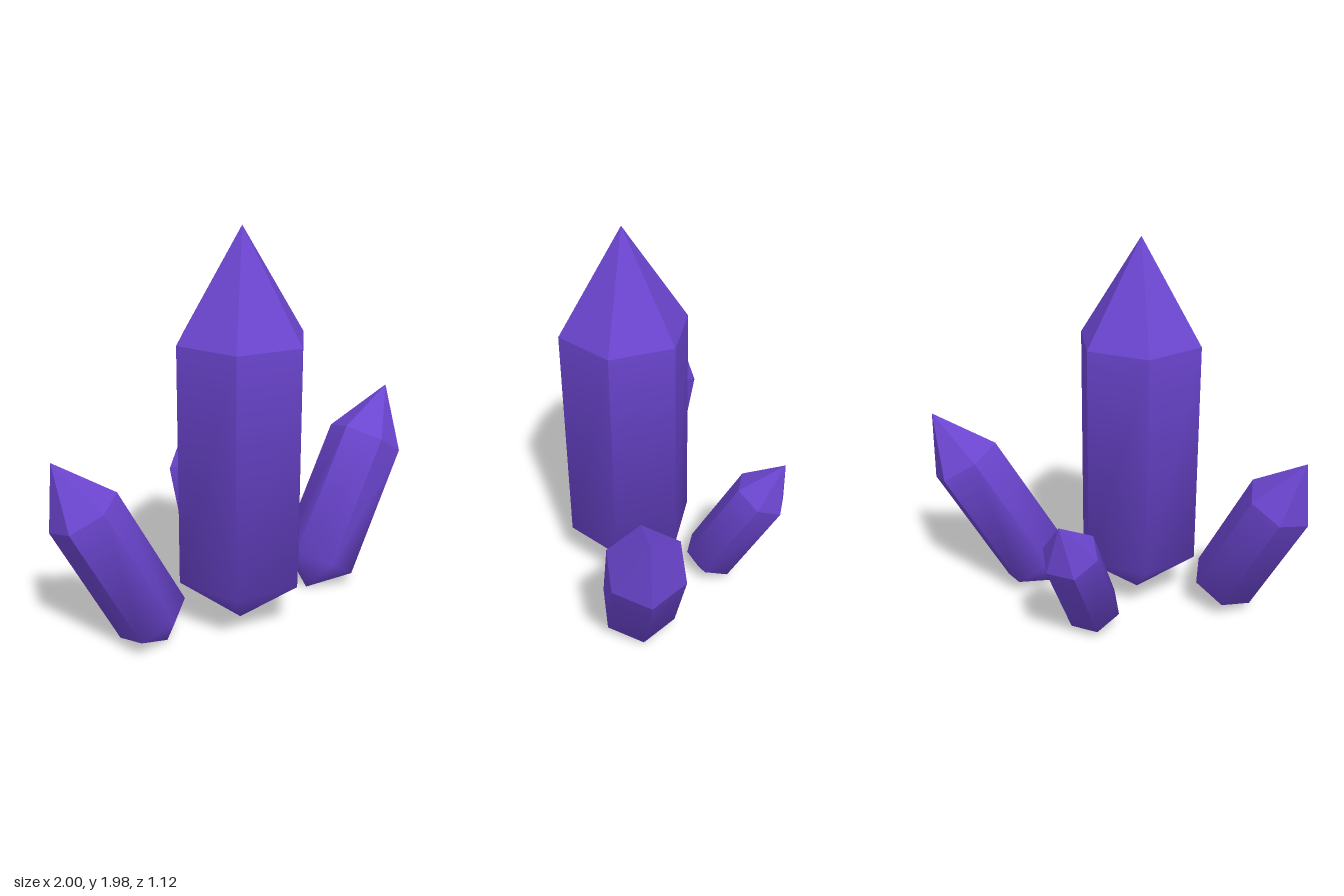
import * as THREE from 'three';

const SIDES = 6, RADIUS = 0.33, HEIGHT = 1.98, LOW = 0.265, HIGH = 1.455;

// Six-sided crystal standing on its lower point: crisp facets at the top, softened edges at the root
function crystalGeometry() {
  const positions = [], normals = [];
  const radial = (a, y = 0) => new THREE.Vector3(Math.cos(a), y, -Math.sin(a));
  const at = (a, y) => radial(a).multiplyScalar(RADIUS).setY(y);
  const add = (p, n) => {
    positions.push(p.x, p.y, p.z);
    normals.push(n.x, n.y, n.z);
  };
  const apex = new THREE.Vector3(0, HEIGHT, 0), root = new THREE.Vector3(0, 0, 0);
  const down = new THREE.Vector3(0, -1, 0);
  const apothem = RADIUS * Math.cos(Math.PI / SIDES);

  for (let i = 0; i < SIDES; i++) {
    const a = i / SIDES * Math.PI * 2, b = (i + 1) / SIDES * Math.PI * 2, mid = (a + b) / 2;
    const lowA = at(a, LOW), lowB = at(b, LOW), highA = at(a, HIGH), highB = at(b, HIGH);
    const softA = radial(a, -0.5).normalize(), softB = radial(b, -0.5).normalize();
    const flat = radial(mid);
    const slope = radial(mid, apothem / (HEIGHT - HIGH)).normalize();
    // pointed top
    add(highA, slope); add(highB, slope); add(apex, slope);
    // long side
    add(lowA, softA); add(lowB, softB); add(highB, flat);
    add(lowA, softA); add(highB, flat); add(highA, flat);
    // rounded-looking root
    add(lowB, softB); add(lowA, softA); add(root, down);
  }
  const geometry = new THREE.BufferGeometry();
  geometry.setAttribute('position', new THREE.Float32BufferAttribute(positions, 3));
  geometry.setAttribute('normal', new THREE.Float32BufferAttribute(normals, 3));
  return geometry;
}

export function createModel() {
  const group = new THREE.Group();
  group.name = 'crystalCluster';
  const purple = new THREE.MeshStandardMaterial({ color: 0x6b45cf });
  purple.name = 'purple crystal';
  const geometry = crystalGeometry();

  // Each crystal runs from root to tip; corner is the direction of one of its edges
  const crystals = [
    { name: 'mainCrystal', root: [-0.055, 0, 0.275], tip: [-0.055, 1.98, 0.275], corner: [1, 0, 0] },
    { name: 'rightCrystal', root: [-0.48, 0.003, 0.335], tip: [-0.975, 0.96, 0.2], corner: [-0.155, -0.085, -0.03] },
    { name: 'leftCrystal', root: [0.405, 0, 0.14], tip: [0.997, 1.005, -0.073], corner: [0.157, -0.105, -0.059] },
    { name: 'backCrystal', root: [0.008, 0.003, -0.12], tip: [0.008, 0.77, -0.56], corner: [1, 0, 0] },
  ];
  for (const { name, root, tip, corner } of crystals) {
    const base = new THREE.Vector3(...root);
    const axis = new THREE.Vector3(...tip).sub(base);
    const scale = axis.length() / HEIGHT;
    axis.normalize();
    const side = new THREE.Vector3(...corner).projectOnPlane(axis).normalize();
    const depth = new THREE.Vector3().crossVectors(side, axis);
    const mesh = new THREE.Mesh(geometry, purple);
    mesh.name = name;
    mesh.position.copy(base);
    mesh.quaternion.setFromRotationMatrix(new THREE.Matrix4().makeBasis(side, axis, depth));
    mesh.scale.setScalar(scale);
    group.add(mesh);
  }
  return group;
}
